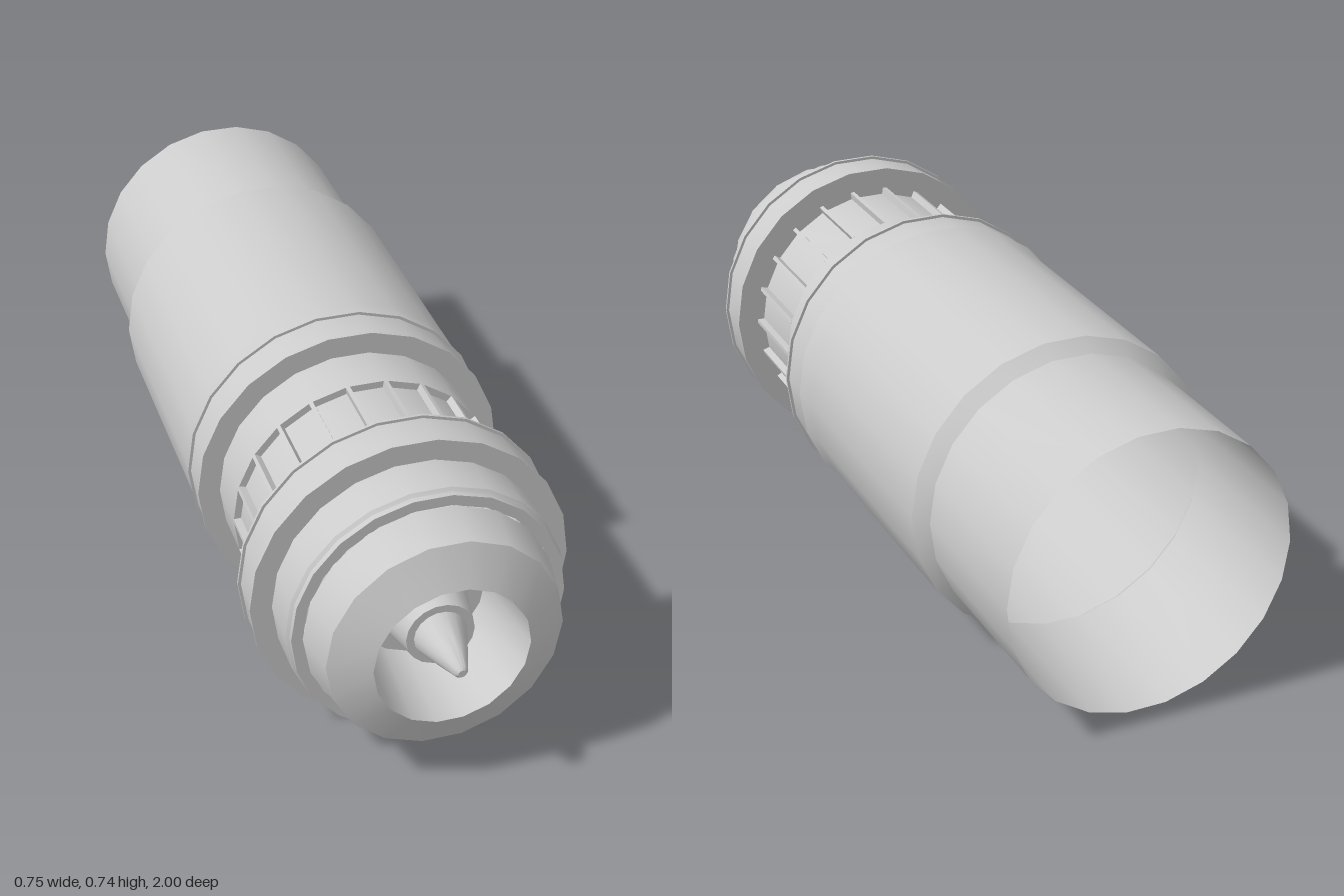
import * as THREE from 'three';
import { toCreasedNormals } from 'three/addons/utils/BufferGeometryUtils.js';

const SIDES = 22;
const AXIS_Y = 0.371;
const material = new THREE.MeshStandardMaterial({ color: 0xcccccc, side: THREE.DoubleSide });

// Turned part along z; profile is [radius, z] pairs, running back to front on outer walls
function turned(name, profile, sides = SIDES) {
  const points = profile.map(([r, z]) => new THREE.Vector2(r, z));
  const lathe = new THREE.LatheGeometry(points, sides, Math.PI / 2);
  lathe.rotateX(Math.PI / 2);
  const mesh = new THREE.Mesh(toCreasedNormals(lathe, 0.5), material);
  mesh.name = name;
  return mesh;
}

export function createModel() {
  const model = new THREE.Group();
  model.name = 'engineCanister';
  const body = new THREE.Group();
  body.name = 'body';
  body.position.y = AXIS_Y;
  model.add(body);

  // Open rear tube, shoulder and main barrel
  body.add(turned('barrel', [
    [0.34, -1], [0.34, -0.61], [0.368, -0.575], [0.368, 0.05], [0.375, 0.105], [0.368, 0.105],
  ]));

  // Front flange of the barrel with a thin lip, stepping down to the neck
  body.add(turned('barrelFlange', [
    [0.368, 0.105], [0.368, 0.196], [0.375, 0.196], [0.375, 0.203], [0.322, 0.203],
  ]));
  body.add(turned('neck', [[0.322, 0.203], [0.322, 0.33], [0.305, 0.33]]));

  // Recessed drum with a thin rib on every corner
  body.add(turned('ventDrum', [[0.305, 0.33], [0.305, 0.56]]));
  const ribs = new THREE.Group();
  ribs.name = 'ventRibs';
  const ribGeometry = new THREE.BoxGeometry(0.03, 0.01, 0.23);
  for (let i = 0; i < SIDES; i++) {
    const angle = (i / SIDES) * Math.PI * 2;
    const rib = new THREE.Mesh(ribGeometry, material);
    rib.name = 'ventRib';
    rib.position.set(Math.cos(angle) * 0.307, Math.sin(angle) * 0.307, 0.445);
    rib.rotation.z = angle;
    ribs.add(rib);
  }
  body.add(ribs);

  // Lipped band ahead of the vents
  body.add(turned('frontBand', [
    [0.305, 0.557], [0.375, 0.557], [0.375, 0.564], [0.368, 0.564],
    [0.368, 0.656], [0.375, 0.656], [0.375, 0.663], [0.324, 0.663],
  ]));

  // Collar behind the nose
  body.add(turned('collar', [
    [0.324, 0.663], [0.324, 0.768], [0.317, 0.775], [0.317, 0.79], [0.291, 0.79],
  ]));

  // Tapered nose with a bevelled face and hollow mouth
  body.add(turned('nose', [
    [0.291, 0.79], [0.271, 0.895], [0.179, 0.94], [0.154, 0.72], [0.1, 0.72],
  ], 18));

  // Hub and pointed spike inside the mouth
  body.add(turned('hub', [[0.109, 0.72], [0.079, 0.86], [0.055, 0.86]], 18));
  body.add(turned('spike', [
    [0.061, 0.86], [0.034, 0.94], [0.016, 0.99], [0.009, 0.998], [0, 1],
  ], 18));

  return model;
}
